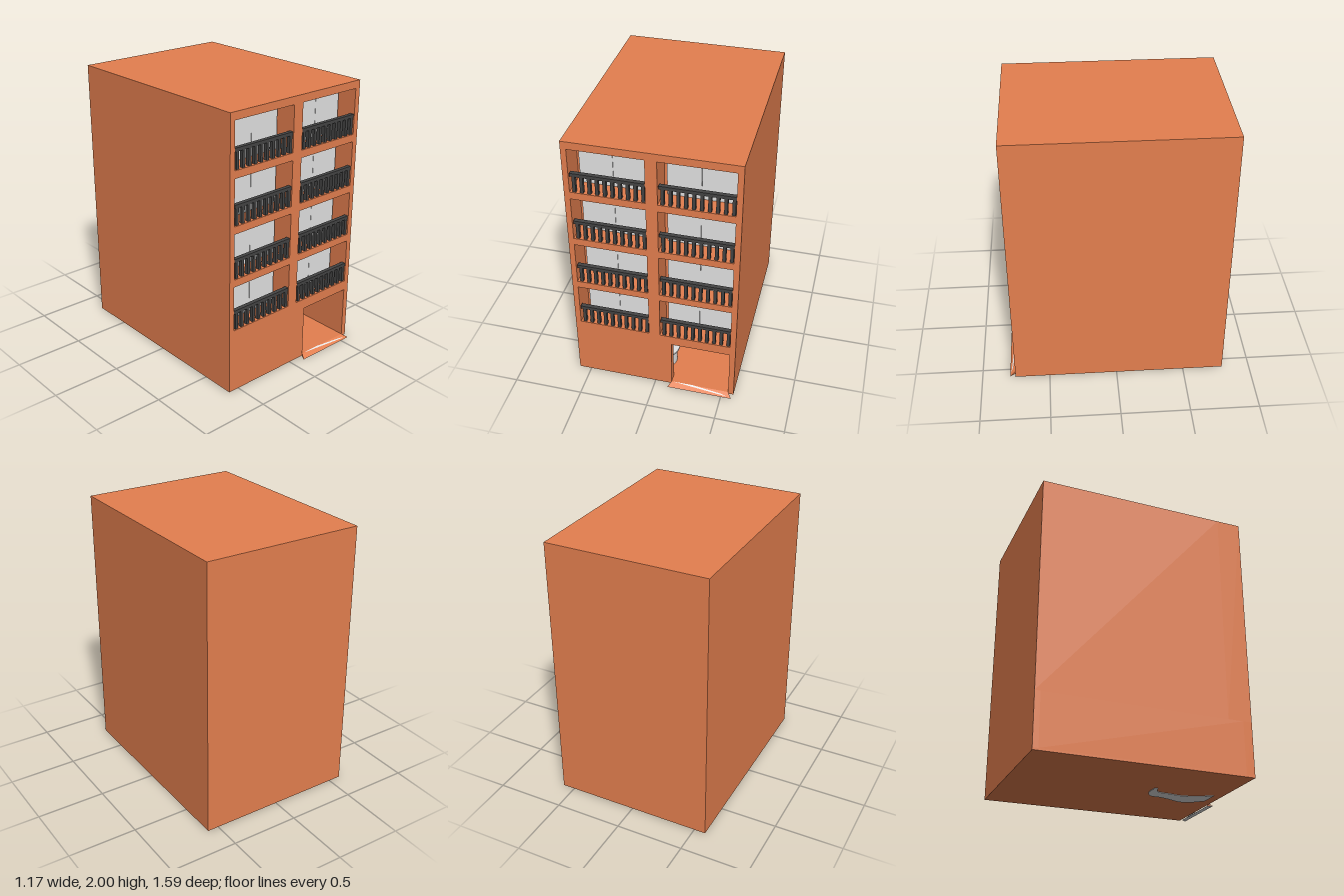
import * as THREE from 'three';

const mat = (name, color, side = THREE.FrontSide) => {
  const m = new THREE.MeshStandardMaterial({ color, side });
  m.name = name;
  return m;
};

export function createModel() {
  const brick = mat('terracotta', 0xe47f4f);
  const pale = mat('pale grey', 0xe3e3e3, THREE.DoubleSide);
  const dark = mat('dark metal', 0x444444);
  const model = new THREE.Group();
  model.name = 'apartmentBlock';

  const add = (parent, name, geometry, material) => {
    const mesh = new THREE.Mesh(geometry, material);
    mesh.name = name;
    parent.add(mesh);
    return mesh;
  };
  // Box given by its limits on each axis
  const box = (parent, name, material, [x0, x1], [y0, y1], [z0, z1]) => {
    const mesh = add(parent, name, new THREE.BoxGeometry(x1 - x0, y1 - y0, z1 - z0), material);
    mesh.position.set((x0 + x1) / 2, (y0 + y1) / 2, (z0 + z1) / 2);
    return mesh;
  };

  const L = -0.587, R = 0.587, BACK = -0.795, FRONT = 0.755, RECESS = 0.575;
  const CEIL = 0.405, JAMB = 0.69;
  const bays = [[-0.548, -0.04], [0.04, 0.547]];
  const floors = [0.48, 0.859, 1.239, 1.619];

  // Upper storeys: solid core and a facade pierced by the balcony openings
  box(model, 'upperCore', brick, [L, R], [CEIL, 2], [BACK, RECESS]);
  const rectangle = (path, x0, x1, y0, y1) => {
    path.moveTo(x0, y0);
    path.lineTo(x1, y0);
    path.lineTo(x1, y1);
    path.lineTo(x0, y1);
    path.closePath();
    return path;
  };
  const face = rectangle(new THREE.Shape(), L, R, CEIL, 2);
  for (const y of floors)
    for (const [x0, x1] of bays)
      face.holes.push(rectangle(new THREE.Path(), x0, x1, y, y + 0.326));
  const facade = add(model, 'facade',
    new THREE.ExtrudeGeometry(face, { depth: FRONT - RECESS, bevelEnabled: false }), brick);
  facade.position.z = RECESS;

  // Ground floor: hollow lobby with an entrance on one side
  box(model, 'lobbyFloor', brick, [L, R], [0.01, 0.025], [BACK, FRONT]);
  box(model, 'lobbyBackWall', brick, [L, R], [0.025, CEIL], [BACK, BACK + 0.04]);
  box(model, 'lobbyRightWall', brick, [L, -0.55], [0.025, CEIL], [BACK + 0.04, JAMB]);
  box(model, 'lobbyLeftWall', brick, [0.547, R], [0.025, CEIL], [BACK + 0.04, JAMB]);
  box(model, 'entranceWall', brick, [L, 0.123], [0.025, CEIL], [JAMB, FRONT]);
  box(model, 'entrancePier', brick, [0.547, R], [0.025, CEIL], [JAMB, FRONT]);

  // Balconies: glass doors behind a railing
  floors.forEach((y, row) => bays.forEach(([x0, x1], col) => {
    const balcony = new THREE.Group();
    balcony.name = `balcony${row + 1}${col ? 'Left' : 'Right'}`;
    model.add(balcony);
    const g0 = x0 + 0.03, g1 = x1 - 0.022, mid = (g0 + g1) / 2;
    for (const span of [[g0, mid - 0.001], [mid + 0.001, g1]])
      box(balcony, 'glassDoor', pale, span, [y, y + 0.284], [RECESS, 0.622]);
    box(balcony, 'handrail', dark, [x0 + 0.006, x1], [y + 0.12, y + 0.144], [0.72, 0.75]);
    for (let i = 0; i < 10; i++) {
      const x = x0 + 0.03 + i * (x1 - x0 - 0.046) / 9;
      box(balcony, 'baluster', dark, [x - 0.011, x + 0.011], [y, y + 0.12], [0.722, 0.748]);
    }
  }));

  // Winding reception desk: a plan (x, z) raised, with an overhanging counter
  const outer = [[0.02, 0.685], [0.09, 0.6], [0.108, 0.52], [0.075, 0.43], [0.05, 0.34],
    [0.045, 0.27], [-0.03, 0.222], [-0.138, 0.222]];
  const inner = [[-0.138, 0.245], [-0.065, 0.28], [-0.05, 0.38], [-0.04, 0.48], [-0.07, 0.58], [-0.12, 0.685]];
  const winding = (name, y, height, overhang) => {
    const curve = (points, shift) => new THREE.SplineCurve(
      points.map(([x, z]) => new THREE.Vector2(x + shift, -z))).getPoints(28);
    const plan = new THREE.Shape([...curve(outer, overhang), ...curve(inner, -overhang)]);
    const mesh = add(model, name,
      new THREE.ExtrudeGeometry(plan, { depth: height, bevelEnabled: false }), pale);
    mesh.rotation.x = -Math.PI / 2;
    mesh.position.y = y;
  };
  winding('receptionDesk', 0.006, 0.142, 0);
  winding('receptionCounter', 0.148, 0.014, 0.018);

  // Flared entrance ramp, its pale inlay and pale underside
  const sheet = (name, points, material) => {
    const g = new THREE.BufferGeometry();
    g.setAttribute('position', new THREE.Float32BufferAttribute(points.flat(), 3));
    g.setIndex(points.length === 4 ? [0, 1, 2, 0, 2, 3] : [0, 1, 2]);
    g.computeVertexNormals();
    return add(model, name, g, material);
  };
  const a = [0.123, 0.026, FRONT], b = [0.1, 0.006, 0.795], c = [0.575, 0.006, 0.795], d = [0.547, 0.026, FRONT];
  sheet('entranceRamp', [a, b, c, d], brick);
  sheet('rampRightCheek', [a, [0.123, 0.006, FRONT], b], brick);
  sheet('rampLeftCheek', [d, c, [0.547, 0.006, FRONT]], brick);
  sheet('rampInlay', [[0.13, 0.028, FRONT], [0.54, 0.012, 0.787], [0.5, 0.0175, 0.776], [0.28, 0.028, FRONT]], pale);
  sheet('rampUnderside', [[0.123, 0.004, FRONT], [0.547, 0.004, FRONT], [0.575, 0.004, 0.795], [0.1, 0.004, 0.795]], pale);

  return model;
}
